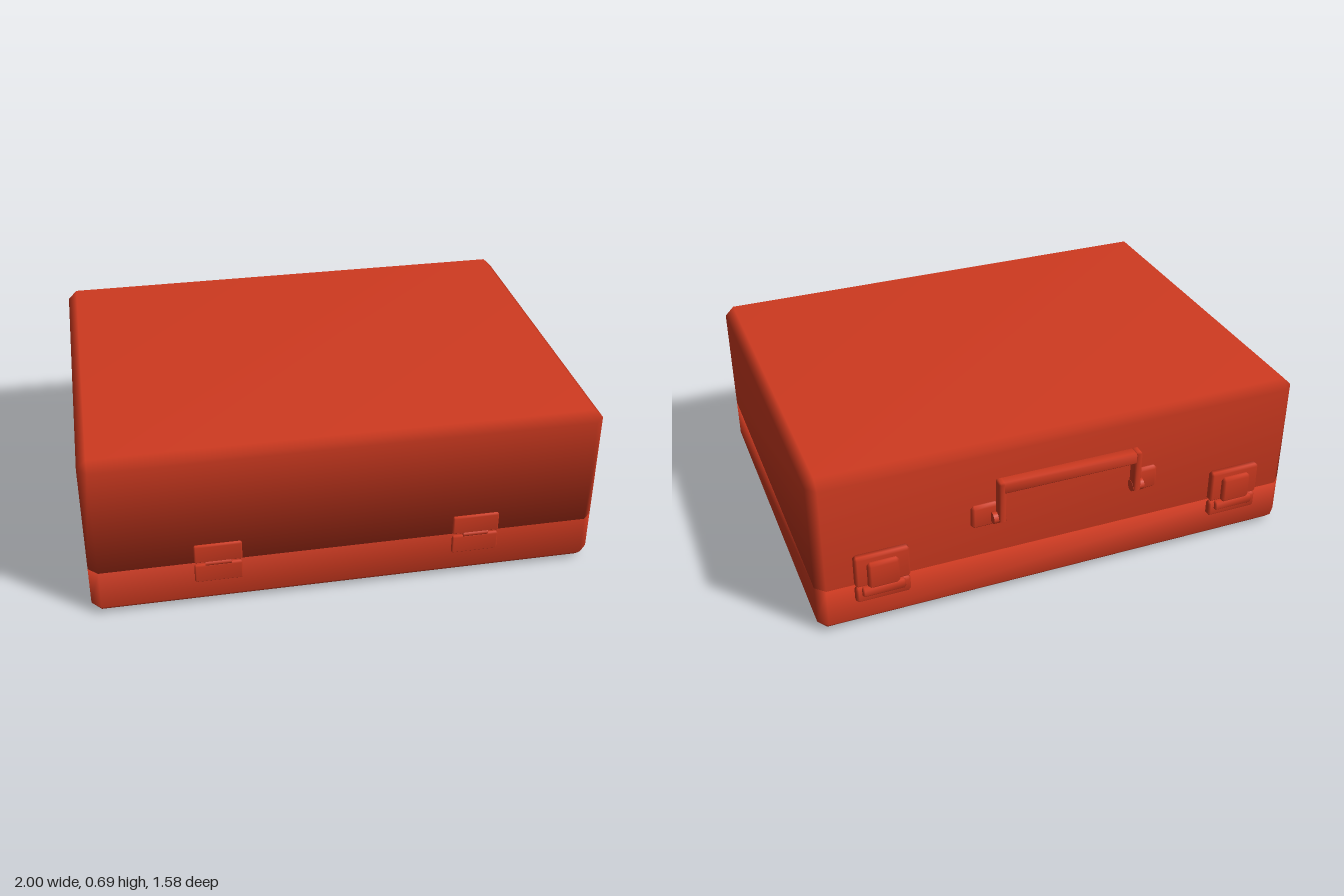
import * as THREE from 'three';
import { mergeVertices } from 'three/addons/utils/BufferGeometryUtils.js';

const red = new THREE.MeshStandardMaterial({ color: 0xcf3a20 });

// Block standing on y = 0 with chamfered upright corners and a chamfered top rim,
// smooth-shaded across every edge. The chamfer is c wide.
function chamferedBlock(w, h, d, c) {
  const ring = (y, inset, k) => {
    const x = w / 2 - inset, z = d / 2 - inset;
    return [[x, k - z], [x - k, -z], [k - x, -z], [-x, k - z],
      [-x, z - k], [k - x, z], [x - k, z], [x, z - k]].map(([px, pz]) => [px, y, pz]);
  };
  const rings = [ring(0, 0, c), ring(h - c, 0, c), ring(h, c, 0)];
  const index = [];
  for (let r = 0; r < 2; r++) {
    for (let i = 0; i < 8; i++) {
      const j = (i + 1) % 8, a = r * 8, b = a + 8;
      index.push(a + i, a + j, b + j, a + i, b + j, b + i);
    }
  }
  for (let i = 1; i < 7; i++) index.push(0, i + 1, i, 16, 16 + i, 17 + i);
  let geo = new THREE.BufferGeometry();
  geo.setAttribute('position', new THREE.Float32BufferAttribute(rings.flat(2), 3));
  geo.setIndex(index);
  geo = mergeVertices(geo, 1e-5);
  geo.computeVertexNormals();
  return geo;
}

function add(parent, name, geometry, x = 0, y = 0, z = 0) {
  const mesh = new THREE.Mesh(geometry, red);
  mesh.name = name;
  mesh.position.set(x, y, z);
  parent.add(mesh);
  return mesh;
}

const FRONT = 0.775, BACK = -0.725, MID = 0.025, SEAM = 0.2;

// Plate on a wall: dir is +1 for the front wall, -1 for the back wall.
function addPlate(parent, name, dir, x, y0, y1, width, reach, c) {
  const wall = (dir > 0 ? FRONT : BACK) - dir * 0.01;
  const geo = chamferedBlock(width, Math.abs(reach - wall), y1 - y0, c);
  geo.rotateX(dir * Math.PI / 2);
  return add(parent, name, geo, x, (y0 + y1) / 2, wall);
}

export function createModel() {
  const model = new THREE.Group();
  model.name = 'case';

  // Two shells meeting at the seam
  add(model, 'lid', chamferedBlock(2, 0.487, 1.5, 0.037), 0, SEAM + 0.003, MID);
  const base = chamferedBlock(2, SEAM - 0.003, 1.5, 0.037);
  base.rotateX(Math.PI);
  add(model, 'base', base, 0, SEAM, MID);

  for (const side of [-1, 1]) {
    // Front hinge: two leaves and a knuckle
    const hinge = new THREE.Group();
    hinge.name = side > 0 ? 'leftHinge' : 'rightHinge';
    addPlate(hinge, 'upperLeaf', 1, side * 0.508, 0.205, 0.285, 0.185, 0.787, 0.006);
    addPlate(hinge, 'lowerLeaf', 1, side * 0.508, 0.115, 0.195, 0.185, 0.787, 0.006);
    const knuckle = new THREE.CylinderGeometry(0.012, 0.012, 0.1, 10);
    knuckle.rotateZ(Math.PI / 2);
    add(hinge, 'knuckle', knuckle, side * 0.508, SEAM, 0.777);
    model.add(hinge);

    // Back latch: backing plates, clip and catch
    const latch = new THREE.Group();
    latch.name = side > 0 ? 'leftLatch' : 'rightLatch';
    const x = side * 0.748;
    addPlate(latch, 'upperPlate', -1, x, 0.203, 0.34, 0.215, -0.753, 0.01);
    addPlate(latch, 'lowerPlate', -1, x, 0.13, 0.198, 0.215, -0.751, 0.01);
    addPlate(latch, 'clip', -1, x, 0.2, 0.315, 0.125, -0.773, 0.012);
    addPlate(latch, 'catch', -1, x, 0.16, 0.2, 0.17, -0.764, 0.008);
    model.add(latch);
  }

  // Carrying handle: mounts, pivots, arms and grip
  const handle = new THREE.Group();
  handle.name = 'handle';
  for (const side of [-1, 1]) {
    addPlate(handle, 'mount', -1, side * 0.335, 0.34, 0.44, 0.11, -0.742, 0.012);
    const pivot = new THREE.CylinderGeometry(0.023, 0.023, 0.05, 14);
    pivot.rotateZ(Math.PI / 2);
    add(handle, 'pivot', pivot, side * 0.29, 0.388, -0.757);
    const arm = chamferedBlock(0.03, 0.175, 0.048, 0.007);
    add(handle, 'arm', arm, side * 0.281, 0.38, -0.762);
  }
  const grip = chamferedBlock(0.05, 0.55, 0.05, 0.008);
  grip.rotateZ(Math.PI / 2);
  add(handle, 'grip', grip, 0.275, 0.53, -0.763);
  model.add(handle);

  return model;
}
